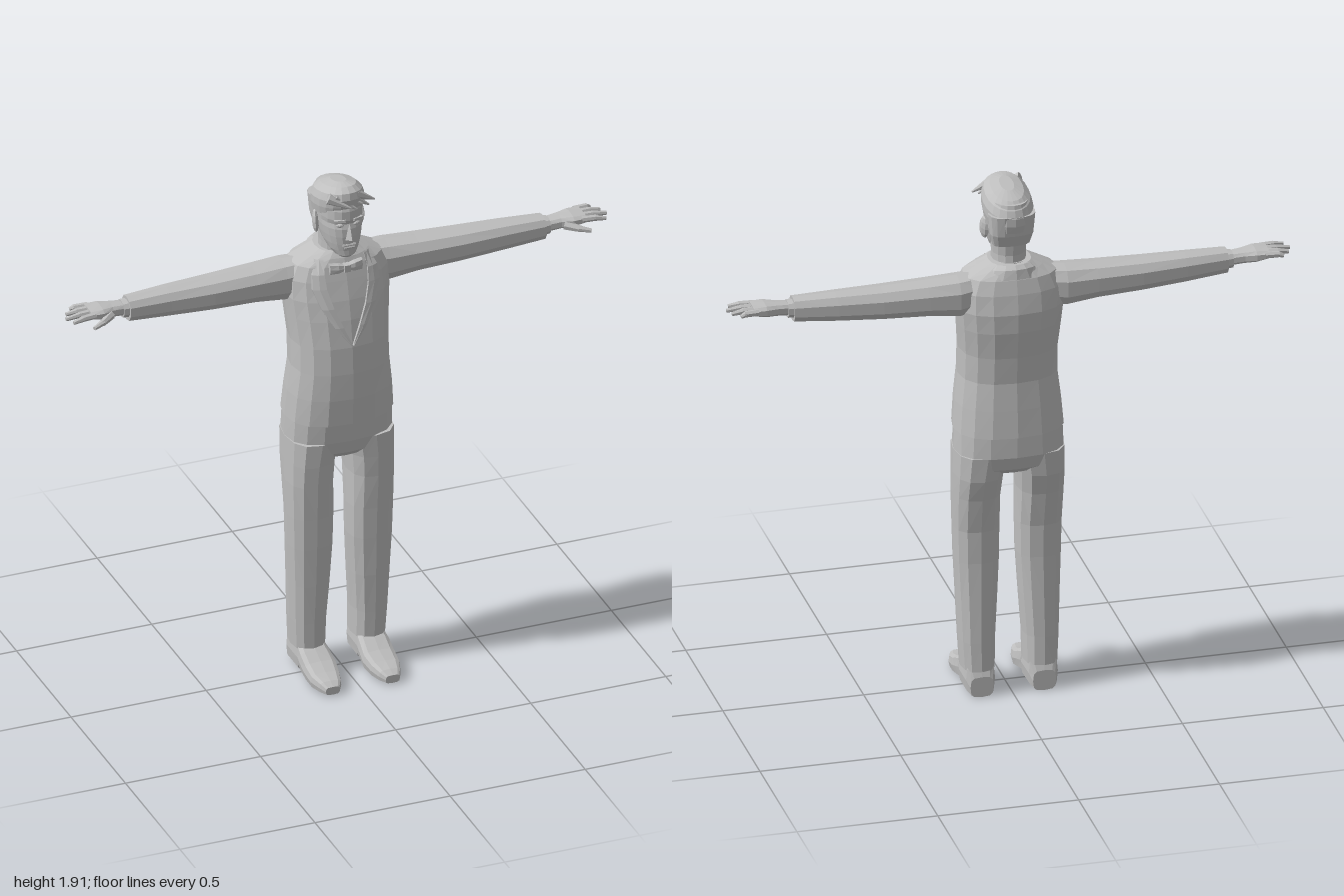
import * as THREE from 'three';

const grey = new THREE.MeshStandardMaterial({ color: 0xbfbfbf });
grey.name = 'plain grey';

// Flat-shaded mesh from an indexed point list
function faceted(name, pts, index) {
  const g = new THREE.BufferGeometry();
  g.setAttribute('position', new THREE.Float32BufferAttribute(pts, 3));
  g.setIndex(index);
  const flat = g.toNonIndexed();
  flat.computeVertexNormals();
  const m = new THREE.Mesh(flat, grey);
  m.name = name;
  return m;
}

// Capped loft through rounded sections.
// axis y: [y, zLo, zHi, xLo, xHi], axis x: [x, yLo, yHi, zLo, zHi], axis z: [z, xLo, xHi, yLo, yHi]
// tilt shears the sections along the axis by the first cross coordinate.
function loft(name, axis, rows, n = 12, e = 2.4, tilt = 0) {
  const pts = [], idx = [];
  const put = (p, a, b) => {
    p += tilt * a;
    pts.push(...(axis === 'y' ? [b, p, a] : axis === 'x' ? [p, a, b] : [a, b, p]));
  };
  const pw = v => Math.sign(v) * Math.pow(Math.abs(v), 2 / e);
  for (const [p, a0, a1, b0, b1] of rows)
    for (let i = 0; i < n; i++) {
      const t = i / n * Math.PI * 2;
      put(p, (a0 + a1) / 2 + pw(Math.cos(t)) * (a1 - a0) / 2, (b0 + b1) / 2 + pw(Math.sin(t)) * (b1 - b0) / 2);
    }
  const last = rows.length - 1;
  for (const r of [rows[0], rows[last]]) put(r[0], (r[1] + r[2]) / 2, (r[3] + r[4]) / 2);
  const c0 = rows.length * n, c1 = c0 + 1;
  for (let i = 0; i < n; i++) {
    const j = (i + 1) % n;
    for (let k = 0; k < last; k++) {
      const a = k * n + i, b = k * n + j;
      idx.push(a, b, b + n, a, b + n, a + n);
    }
    idx.push(c0, j, i, c1, last * n + i, last * n + j);
  }
  return faceted(name, pts, idx);
}

// Upright loft symmetric in x: [y, zBack, zFront, halfWidth]
const upright = (name, rows, n, e, tilt) =>
  loft(name, 'y', rows.map(([y, b, f, w]) => [y, b, f, -w, w]), n, e, tilt);

function primitive(name, geo, x, y, z, rx = 0, ry = 0, rz = 0) {
  const g = geo.index ? geo.toNonIndexed() : geo;
  g.computeVertexNormals();
  const m = new THREE.Mesh(g, grey);
  m.name = name;
  m.position.set(x, y, z);
  m.rotation.set(rx, ry, rz);
  return m;
}

// Tapered rod between two points
function rod(name, a, b, r0, r1) {
  const A = new THREE.Vector3(...a), B = new THREE.Vector3(...b), d = B.clone().sub(A);
  const m = primitive(name, new THREE.CylinderGeometry(r1, r0, d.length(), 7), 0, 0, 0);
  m.position.copy(A).add(B).multiplyScalar(0.5);
  m.quaternion.setFromUnitVectors(new THREE.Vector3(0, 1, 0), d.normalize());
  return m;
}

const TORSO = [
  [1.0, -0.187, 0.107, 0.195], [1.1, -0.178, 0.112, 0.187], [1.2, -0.168, 0.112, 0.175],
  [1.3, -0.176, 0.106, 0.174], [1.4, -0.19, 0.09, 0.183], [1.47, -0.192, 0.075, 0.19],
  [1.54, -0.18, 0.055, 0.188], [1.59, -0.165, 0.04, 0.165], [1.615, -0.15, 0.03, 0.115],
  [1.635, -0.135, 0.015, 0.075]];

// Front of the jacket at a given x and y
function chestZ(x, y) {
  let k = 0;
  while (k < TORSO.length - 2 && TORSO[k + 1][0] < y) k++;
  const t = (y - TORSO[k][0]) / (TORSO[k + 1][0] - TORSO[k][0]);
  const [b, f, w] = [1, 2, 3].map(c => THREE.MathUtils.lerp(TORSO[k][c], TORSO[k + 1][c], t));
  const u = Math.min(1, Math.abs(x) / w);
  return (b + f) / 2 + (f - b) / 2 * Math.pow(1 - Math.pow(u, 2.4), 1 / 2.4);
}

// Lapel: raised strip following the chest, rows of [y, innerX, outerX]
function lapel() {
  const rows = [[1.31, 0, 0.006], [1.38, 0.03, 0.06], [1.45, 0.058, 0.1], [1.52, 0.077, 0.125], [1.57, 0.08, 0.12], [1.615, 0.075, 0.1]];
  const pts = [], idx = [];
  rows.forEach(([y, a, b], r) => {
    [[a, -0.004], [a, 0.008], [(a + b) / 2, 0.009], [b, 0.007], [b, -0.004]]
      .forEach(([x, lift]) => pts.push(x, y, chestZ(x, y) + lift));
    if (r) for (let c = 0; c < 4; c++) {
      const p = (r - 1) * 5 + c;
      idx.push(p, p + 1, p + 6, p, p + 6, p + 5);
    }
  });
  return faceted('lapel', pts, idx);
}

// Arm, hand, leg, shoe, lapel and paired face parts of the left side
function leftSide() {
  const g = new THREE.Group();
  g.add(loft('sleeve', 'x', [
    [0.1, 1.46, 1.6, -0.13, -0.01], [0.19, 1.446, 1.596, -0.147, -0.008], [0.3, 1.46, 1.589, -0.143, -0.008],
    [0.46, 1.466, 1.583, -0.134, -0.01], [0.62, 1.475, 1.58, -0.12, -0.016], [0.77, 1.486, 1.575, -0.104, -0.02]], 10));
  g.add(loft('shirtCuff', 'x', [[0.76, 1.5, 1.565, -0.097, -0.028], [0.79, 1.502, 1.563, -0.095, -0.03]], 10));
  g.add(loft('palm', 'x', [
    [0.78, 1.512, 1.558, -0.09, -0.034], [0.83, 1.517, 1.562, -0.096, -0.028],
    [0.87, 1.52, 1.566, -0.108, -0.012], [0.915, 1.53, 1.563, -0.11, -0.012]], 10, 2.8));
  [[0.963, -0.1, -0.108], [0.988, -0.075, -0.078], [1.0, -0.05, -0.046], [0.985, -0.024, -0.012]].forEach(([x, z0, z1]) => {
    g.add(rod('finger', [0.9, 1.548, z0], [0.95, 1.548, (z0 + z1) / 2], 0.0125, 0.011));
    g.add(rod('fingerTip', [0.945, 1.548, (z0 + z1) / 2], [x, 1.542, z1], 0.011, 0.007));
  });
  g.add(rod('thumb', [0.84, 1.535, -0.03], [0.885, 1.527, 0.002], 0.017, 0.012));
  g.add(rod('thumbTip', [0.88, 1.528, 0], [0.92, 1.522, 0.018], 0.012, 0.007));

  g.add(loft('trouserLeg', 'y', [
    [0.095, -0.122, 0.03, 0.052, 0.17], [0.2, -0.119, 0.036, 0.05, 0.176], [0.35, -0.114, 0.046, 0.04, 0.182],
    [0.5, -0.108, 0.053, 0.031, 0.189], [0.62, -0.11, 0.058, 0.029, 0.192], [0.75, -0.133, 0.066, 0.03, 0.195],
    [0.83, -0.155, 0.073, 0.024, 0.195], [0.92, -0.165, 0.08, 0.005, 0.194]], 12, 2.5));
  g.add(loft('shoe', 'z', [
    [-0.12, 0.07, 0.152, 0, 0.075], [-0.1, 0.06, 0.163, 0, 0.12], [-0.002, 0.058, 0.163, 0, 0.12],
    [0.0, 0.056, 0.164, 0.016, 0.115], [0.035, 0.052, 0.168, 0.012, 0.098], [0.08, 0.048, 0.168, 0.003, 0.075],
    [0.13, 0.056, 0.165, 0, 0.058], [0.175, 0.07, 0.15, 0.002, 0.048], [0.2, 0.085, 0.137, 0.006, 0.036]], 12, 3.6));
  g.add(lapel());

  // Bow tie wing, ear and eye
  g.add(loft('bowTieWing', 'x', [[0, 1.576, 1.596, 0.03, 0.055], [0.03, 1.567, 1.604, 0.028, 0.058], [0.06, 1.563, 1.609, 0.028, 0.05]], 8, 3));
  const ear = new THREE.SphereGeometry(1, 8, 6);
  ear.scale(0.012, 0.043, 0.025);
  g.add(primitive('ear', ear, 0.081, 1.745, -0.035, -0.15, 0.35, 0));
  const eye = new THREE.SphereGeometry(1, 8, 6);
  eye.scale(0.014, 0.007, 0.007);
  g.add(primitive('eye', eye, 0.031, 1.765, 0.066, 0, 0.3, 0));
  g.add(primitive('eyebrow', new THREE.BoxGeometry(0.04, 0.009, 0.012), 0.033, 1.785, 0.07, 0, 0.35, -0.08));
  return g;
}

export function createModel() {
  const model = new THREE.Group();
  model.name = 'standingMan';

  // Jacket, trousers and collars
  model.add(upright('jacket', TORSO, 16));
  model.add(upright('trouserSeat', [
    [0.845, -0.13, 0.045, 0.12], [0.87, -0.16, 0.07, 0.175], [0.92, -0.176, 0.084, 0.193], [1.01, -0.172, 0.092, 0.19]], 16, 2.6));
  model.add(upright('jacketCollar', [[1.56, -0.17, 0.035, 0.125], [1.595, -0.162, 0.025, 0.098], [1.61, -0.145, 0.02, 0.08]], 16, 2, -0.2));
  model.add(upright('shirtCollar', [[1.58, -0.13, 0.035, 0.078], [1.622, -0.125, 0.028, 0.068]], 14, 2, -0.12));
  model.add(primitive('bowTieKnot', new THREE.BoxGeometry(0.022, 0.026, 0.03), 0, 1.586, 0.046));

  // Neck and head
  model.add(upright('neck', [[1.57, -0.125, 0.02, 0.062], [1.66, -0.115, 0.012, 0.06], [1.73, -0.125, 0.01, 0.063]], 14, 2));
  model.add(upright('head', [
    [1.634, 0.015, 0.062, 0.022], [1.645, -0.02, 0.073, 0.038], [1.665, -0.06, 0.073, 0.054], [1.69, -0.095, 0.076, 0.064],
    [1.72, -0.118, 0.078, 0.071], [1.75, -0.132, 0.077, 0.076], [1.768, -0.138, 0.071, 0.077], [1.785, -0.142, 0.079, 0.078],
    [1.82, -0.146, 0.079, 0.079], [1.86, -0.135, 0.065, 0.07]], 20, 2.2));
  model.add(faceted('nose',
    [0, 1.775, 0.079, -0.017, 1.708, 0.07, 0.017, 1.708, 0.07, 0, 1.717, 0.103, 0, 1.703, 0.075],
    [0, 1, 3, 0, 3, 2, 3, 1, 4, 3, 4, 2]));
  for (const [y, w] of [[1.688, 0.046], [1.679, 0.038]])
    model.add(primitive('lip', new THREE.CylinderGeometry(0.0055, 0.0055, w, 6), 0, y, 0.073, 0, 0, Math.PI / 2));

  // Hair: sheared cap, lower at the nape, with a fringe swept to the left
  model.add(upright('hair', [
    [1.79, -0.146, 0.066, 0.081], [1.82, -0.153, 0.078, 0.086], [1.848, -0.153, 0.084, 0.086],
    [1.874, -0.142, 0.078, 0.077], [1.894, -0.115, 0.055, 0.056], [1.904, -0.07, 0.015, 0.024]], 20, 2.2, 0.22));
  model.add(upright('napeHair', [[1.7, -0.122, -0.05, 0.066], [1.745, -0.14, -0.05, 0.077], [1.82, -0.151, -0.04, 0.083]], 16, 2.4));
  for (let i = 0; i < 5; i++) {
    const x = -0.05 + i * 0.025;
    model.add(rod('fringeLock', [x - 0.02, 1.873, 0.055], [x + 0.052, 1.838 - (i % 2) * 0.012, 0.088 - i * 0.008], 0.02, 0.003));
  }

  // Mirrored limbs and details
  const left = leftSide(), right = leftSide();
  left.name = 'leftSide';
  right.name = 'rightSide';
  right.scale.x = -1;
  model.add(left, right);
  return model;
}
